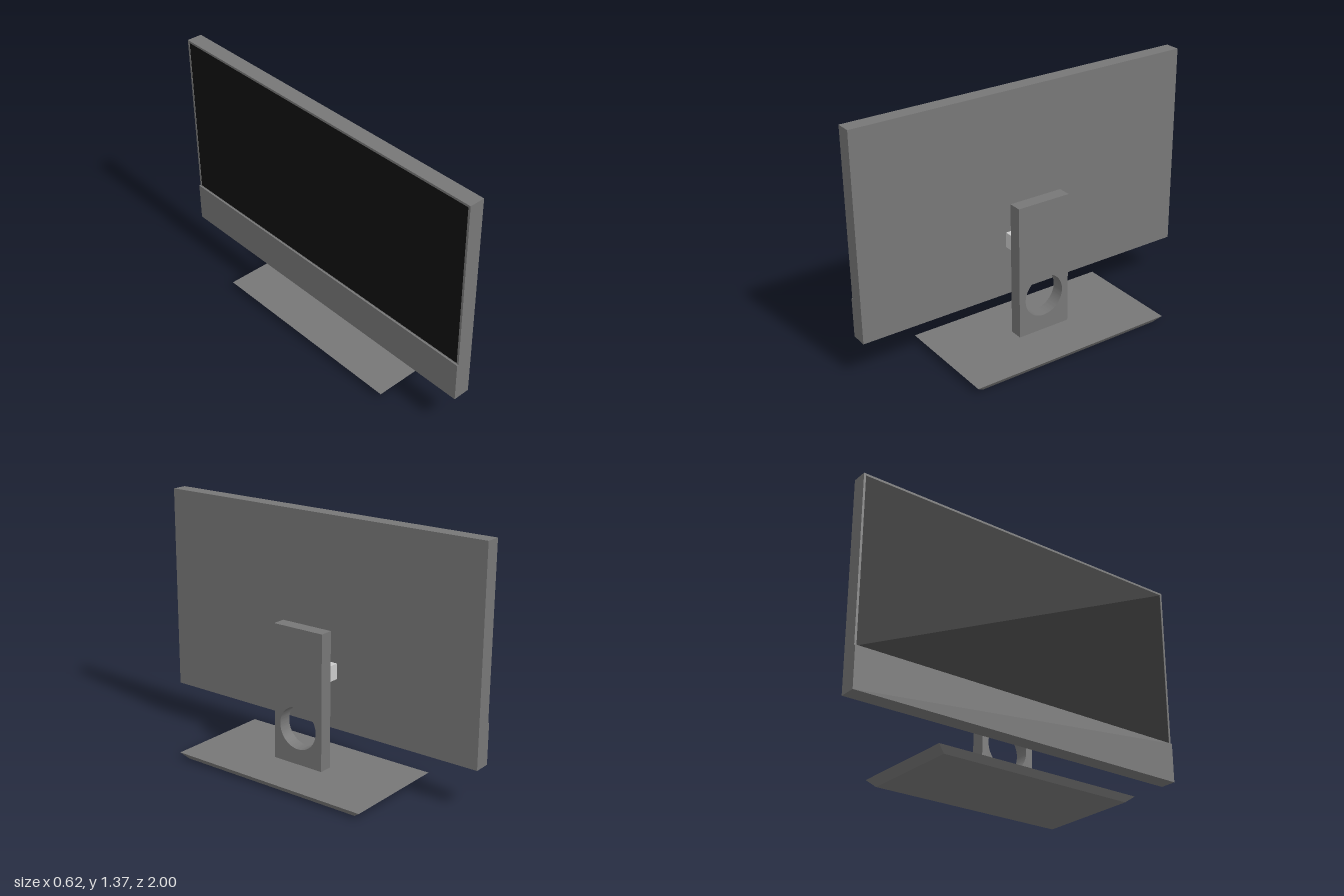
import * as THREE from 'three';
import { toCreasedNormals } from 'three/addons/utils/BufferGeometryUtils.js';

const dark = new THREE.MeshStandardMaterial({ color: 0x777777 });
const black = new THREE.MeshStandardMaterial({ color: 0x111111 });
const grey = new THREE.MeshStandardMaterial({ color: 0xcccccc });

// Box from its limits on each axis
function box(name, [x0, x1], [y0, y1], [z0, z1], material) {
  const geometry = new THREE.BoxGeometry(x1 - x0, y1 - y0, z1 - z0);
  geometry.translate((x0 + x1) / 2, (y0 + y1) / 2, (z0 + z1) / 2);
  const mesh = new THREE.Mesh(geometry, material);
  mesh.name = name;
  return mesh;
}

function rectangle(z0, z1, y0, y1) {
  return new THREE.Shape([[z0, y0], [z1, y0], [z1, y1], [z0, y1]].map(p => new THREE.Vector2(...p)));
}

// Outline in the z-y plane, extruded along x from x0 to x1
function slab(name, shape, x0, x1, material) {
  const extruded = new THREE.ExtrudeGeometry(shape, { depth: x1 - x0, bevelEnabled: false, curveSegments: 48 });
  extruded.rotateY(-Math.PI / 2).translate(x1, 0, 0);
  const mesh = new THREE.Mesh(toCreasedNormals(extruded, 0.6), material);
  mesh.name = name;
  return mesh;
}

export function createModel() {
  const model = new THREE.Group();
  model.name = 'monitor';

  // Housing with a thin bezel around a slightly recessed screen
  const display = new THREE.Group();
  display.name = 'display';
  const bezel = rectangle(-1, 1, 0.445, 1.372);
  bezel.holes.push(rectangle(-0.988, 0.988, 0.447, 1.36));
  display.add(
    box('housing', [-0.193, -0.113], [0.225, 1.372], [-1, 1], dark),
    slab('bezel', bezel, -0.198, -0.193, dark),
    box('screen', [-0.196, -0.192], [0.447, 1.36], [-0.988, 0.988], black),
    box('chin', [-0.207, -0.193], [0.225, 0.445], [-1, 1], dark),
  );
  model.add(display);

  // Bracket between display and stand
  model.add(box('mount', [-0.113, -0.039], [0.506, 0.592], [-0.143, 0.137], grey));

  // Upright with a round cable opening
  const upright = rectangle(-0.157, 0.157, 0.033, 0.79);
  const opening = new THREE.Path();
  opening.absarc(0, 0.239, 0.119, 0, Math.PI * 2, true);
  upright.holes.push(opening);
  model.add(slab('stand', upright, -0.039, 0.036, dark));

  // Base plate with edges tapering in towards the ground
  const base = box('base', [-0.31, 0.31], [0, 0.033], [-0.6, 0.6], dark);
  const position = base.geometry.attributes.position;
  for (let i = 0; i < position.count; i++) {
    if (position.getY(i) < 0.01) {
      position.setX(i, Math.sign(position.getX(i)) * 0.285);
      position.setZ(i, Math.sign(position.getZ(i)) * 0.556);
    }
  }
  base.geometry.computeVertexNormals();
  model.add(base);

  return model;
}
